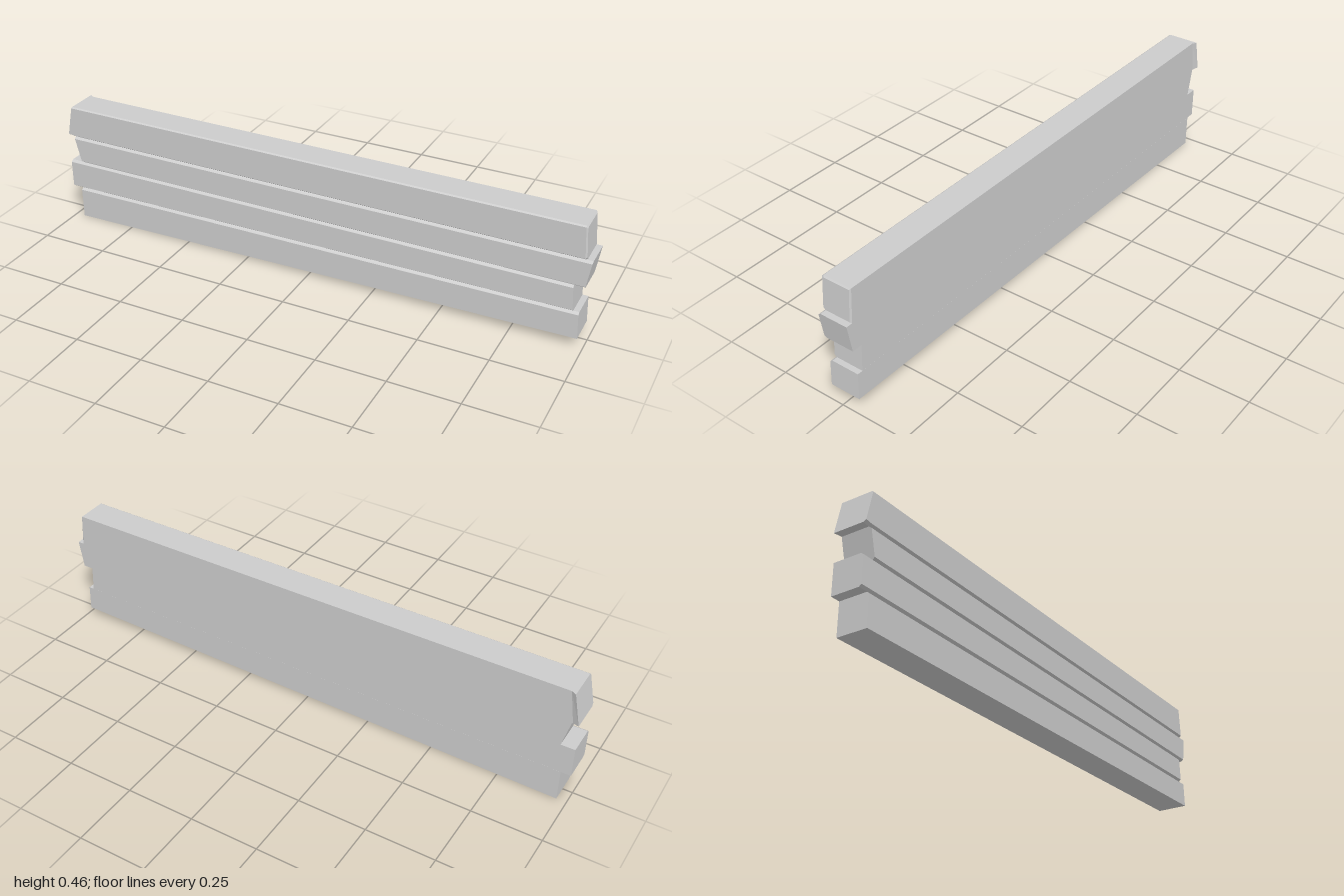
import * as THREE from 'three';

const FRONT = 0.062, BACK = -0.053;
const material = new THREE.MeshStandardMaterial({ color: 0xcccccc, flatShading: true });

// One cross-section of a board; xb / xt are the x of its lower and upper edges,
// hb / ht the heights of the lower and upper front chamfers.
function section({ xb, xt, yb, yt, hb = 0.007, ht = 0.007, back = BACK, front = FRONT }) {
  const at = (y, z) => new THREE.Vector3(xb + (xt - xb) * (y - yb) / (yt - yb), y, z);
  const cut = h => Math.min(0.01, h * 1.4);
  return [
    at(yb, back), at(yt, back), at(yt, front - cut(ht)),
    at(yt - ht, front), at(yb + hb, front), at(yb, front - cut(hb)),
  ];
}

// Skins cross-sections ordered from -x to +x and closes both ends.
function board(name, stations) {
  const loops = stations.map(section);
  const pos = [];
  const tri = (...points) => points.forEach(p => pos.push(p.x, p.y, p.z));
  for (let s = 0; s < loops.length - 1; s++) {
    for (let i = 0; i < 6; i++) {
      const j = (i + 1) % 6;
      const [a, b, c, d] = [loops[s][i], loops[s][j], loops[s + 1][j], loops[s + 1][i]];
      tri(a, b, c);
      tri(a, c, d);
    }
  }
  const first = loops[0], last = loops[loops.length - 1];
  for (let i = 1; i < 5; i++) {
    tri(first[0], first[i + 1], first[i]);
    tri(last[0], last[i], last[i + 1]);
  }
  const geometry = new THREE.BufferGeometry();
  geometry.setAttribute('position', new THREE.Float32BufferAttribute(pos, 3));
  geometry.computeVertexNormals();
  const mesh = new THREE.Mesh(geometry, material);
  mesh.name = name;
  return mesh;
}

export function createModel() {
  const group = new THREE.Group();
  group.name = 'plankWall';

  // Bottom board, its underside rising towards +x
  group.add(board('bottomPlank', [
    { xb: -0.965, xt: -0.965, yb: 0, yt: 0.119, hb: 0 },
    { xb: 0.98, xt: 0.975, yb: 0.037, yt: 0.134, hb: 0 },
  ]));

  // Two middle boards with staggered ends
  group.add(board('lowerMiddlePlank', [
    { xb: -1, xt: -1, yb: 0.119, yt: 0.231 },
    { xb: 0.955, xt: 0.948, yb: 0.134, yt: 0.231 },
  ]));
  group.add(board('upperMiddlePlank', [
    { xb: -0.95, xt: -0.975, yb: 0.231, yt: 0.333 },
    { xb: 0.985, xt: 1, yb: 0.231, yt: 0.333 },
  ]));

  // Top board: flared at the back of one end, bevelled around the other
  group.add(board('topPlank', [
    { xb: -1, xt: -0.975, yb: 0.336, yt: 0.455, ht: 0.004, back: -0.062 },
    { xb: -0.978, xt: -0.958, yb: 0.333, yt: 0.455, ht: 0.004 },
    { xb: 0.976, xt: 0.966, yb: 0.333, yt: 0.455, ht: 0.004 },
    { xb: 0.981, xt: 0.971, yb: 0.337, yt: 0.45, ht: 0.004, back: -0.048, front: 0.058 },
  ]));

  return group;
}
